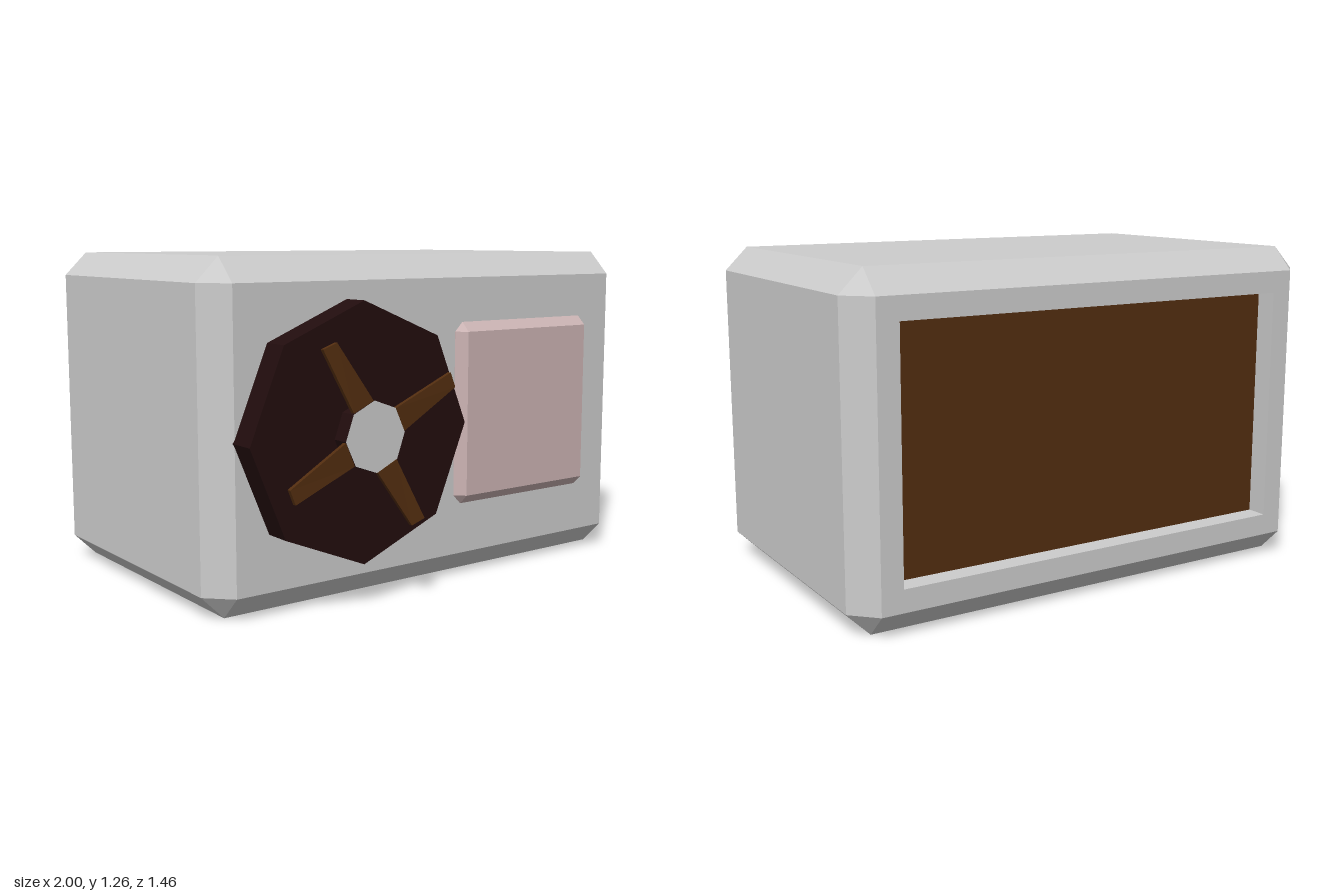
import * as THREE from 'three';
import { ConvexGeometry } from 'three/addons/geometries/ConvexGeometry.js';

const flat = (name, color) => {
  const m = new THREE.MeshStandardMaterial({ color });
  m.name = name;
  return m;
};

// Box with a single-step chamfer of width c on every edge
function chamferBox(w, h, d, c) {
  const pts = [];
  for (const x of [-1, 1]) for (const y of [-1, 1]) for (const z of [-1, 1]) {
    for (let k = 0; k < 3; k++) {
      pts.push(new THREE.Vector3(
        x * (w / 2 - (k === 0 ? 0 : c)),
        y * (h / 2 - (k === 1 ? 0 : c)),
        z * (d / 2 - (k === 2 ? 0 : c))));
    }
  }
  return new ConvexGeometry(pts);
}

// Remove the triangles that face straight back
function openBack(geometry) {
  const p = geometry.attributes.position, n = geometry.attributes.normal;
  const pos = [], nor = [];
  for (let i = 0; i < p.count; i += 3) {
    if (n.getZ(i) < -0.99) continue;
    for (let j = i; j < i + 3; j++) {
      pos.push(p.getX(j), p.getY(j), p.getZ(j));
      nor.push(n.getX(j), n.getY(j), n.getZ(j));
    }
  }
  const g = new THREE.BufferGeometry();
  g.setAttribute('position', new THREE.Float32BufferAttribute(pos, 3));
  g.setAttribute('normal', new THREE.Float32BufferAttribute(nor, 3));
  return g;
}

function trace(path, x, y) {
  path.moveTo(-x, -y);
  path.lineTo(x, -y);
  path.lineTo(x, y);
  path.lineTo(-x, y);
  path.closePath();
  return path;
}

export function createModel() {
  const grey = flat('casing grey', 0xcccccc);
  const pink = flat('panel pink', 0xccb4b4);
  const dark = flat('fan dark maroon', 0x220d0e);
  const brown = flat('rust brown', 0x522d0f);
  for (const m of [grey, pink, dark, brown]) m.flatShading = true;

  const model = new THREE.Group();
  model.name = 'airConditionerUnit';
  const add = (name, geometry, material, x, y, z, parent = model) => {
    const mesh = new THREE.Mesh(geometry, material);
    mesh.name = name;
    mesh.position.set(x, y, z);
    parent.add(mesh);
    return mesh;
  };

  // Casing, with a framed recess in the back
  const midY = 0.63, backZ = -0.73, depth = 0.09;
  add('casing', openBack(chamferBox(2, 1.26, 1.26, 0.09)), grey, 0, midY, -0.1);
  const frame = trace(new THREE.Shape(), 0.91, 0.54);
  frame.holes.push(trace(new THREE.Path(), 0.825, 0.455));
  add('backFrame', new THREE.ExtrudeGeometry(frame, { depth, bevelEnabled: false }), grey, 0, midY, backZ);
  add('recessFloor', new THREE.PlaneGeometry(1.65, 0.91).rotateY(Math.PI), grey, 0, midY, backZ + depth);
  add('backGrille', new THREE.BoxGeometry(1.61, 0.91, 0.008), brown, -0.02, midY, backZ + depth - 0.004);

  // Raised front panel
  add('frontPanel', chamferBox(0.71, 0.71, 0.1, 0.036), pink, 0.423, 0.645, 0.517);

  // Fan: octagonal housing, hub and cap
  const fan = new THREE.Group();
  fan.name = 'fan';
  fan.position.set(-0.443, 0.632, 0);
  model.add(fan);
  const disc = (r, h) => new THREE.CylinderGeometry(r, r, h, 8).rotateX(Math.PI / 2);
  add('fanHousing', disc(0.472, 0.125), dark, 0, 0, 0.5725, fan);
  const turn = THREE.MathUtils.degToRad(2.5);
  add('fanHub', disc(0.129, 0.067), dark, 0, 0, 0.6665, fan).rotation.z = turn;
  add('hubCap', new THREE.CircleGeometry(0.129, 8), grey, 0, 0, 0.7015, fan).rotation.z = turn;

  // Four tapered blades, leaning forward on one side
  const blade = new THREE.Shape([
    [-0.094, 0.09], [-0.009, 0.128], [-0.153, 0.336], [-0.207, 0.315],
  ].map(([x, y]) => new THREE.Vector2(x, y)).reverse());
  for (let i = 0; i < 4; i++) {
    const g = new THREE.ExtrudeGeometry(blade, { depth: 0.016, bevelEnabled: false });
    g.rotateZ(i * Math.PI / 2);
    const p = g.attributes.position;
    for (let j = 0; j < p.count; j++) {
      const r = Math.hypot(p.getX(j), p.getY(j));
      const lean = Math.max(0, (r - 0.13) / r) * p.getX(j) * 0.15;
      p.setZ(j, p.getZ(j) + lean);
    }
    g.computeVertexNormals();
    add('fanBlade', g, brown, 0, 0, 0.685, fan);
  }
  return model;
}
